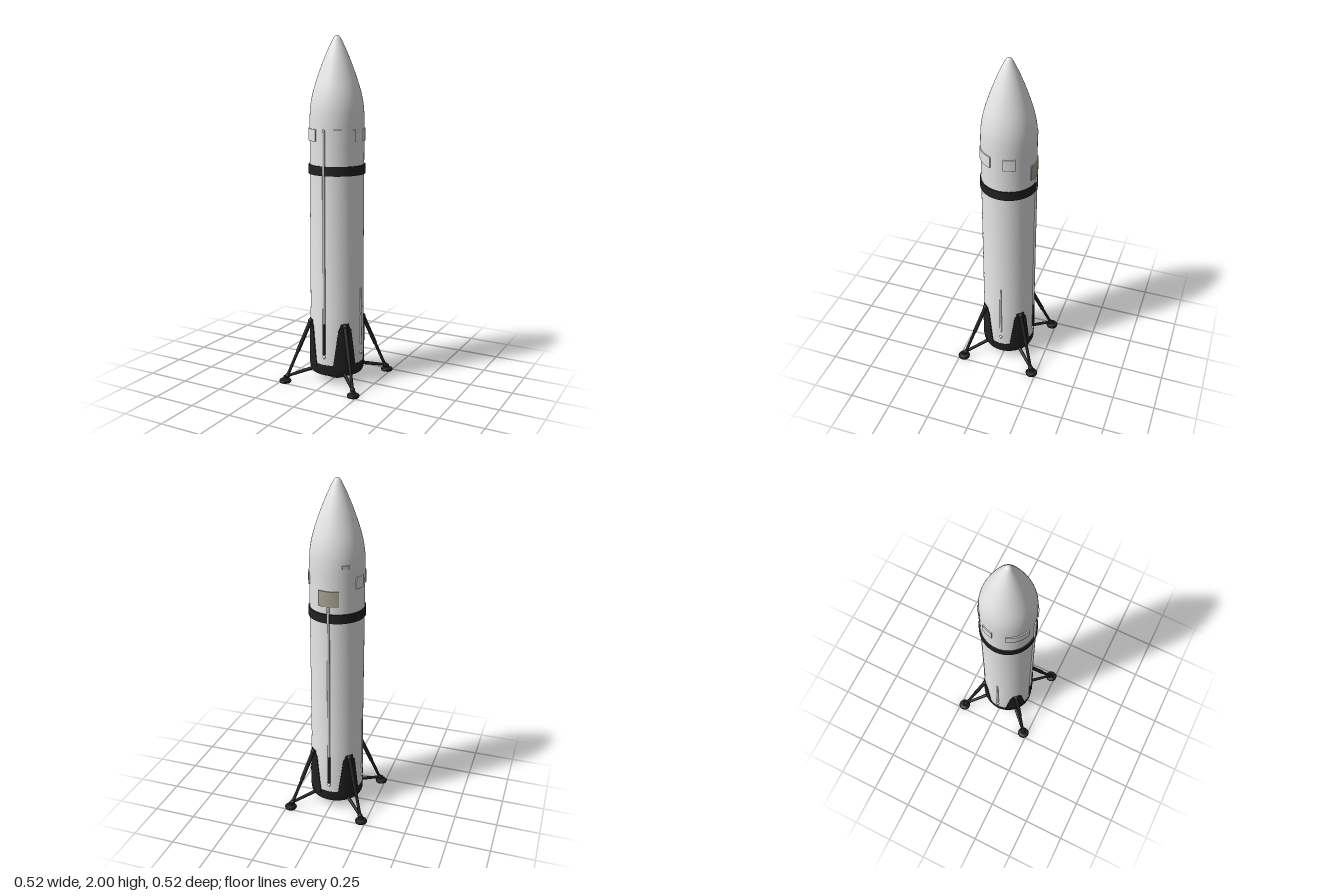
import * as THREE from 'three';
import { toCreasedNormals } from 'three/addons/utils/BufferGeometryUtils.js';

const material = (name, color) => {
  const m = new THREE.MeshStandardMaterial({ color });
  m.name = name;
  return m;
};

export function createModel() {
  const white = material('hull white', 0xe6e6e6);
  const black = material('heat shield black', 0x222222);
  const beige = material('hatch beige', 0xa8a490);
  const grey = material('conduit grey', 0xcfcfcf);
  const rocket = new THREE.Group();
  rocket.name = 'rocket';
  const rad = THREE.MathUtils.degToRad;

  const add = (name, geometry, mat, parent = rocket) => {
    const mesh = new THREE.Mesh(geometry, mat);
    mesh.name = name;
    parent.add(mesh);
    return mesh;
  };
  // Turned part, profile given as [radius, height] pairs
  const lathe = (pts, segments = 64) => toCreasedNormals(
    new THREE.LatheGeometry(pts.map(([r, y]) => new THREE.Vector2(r, y)), segments), rad(35));
  // Point on a cylinder; azimuth runs from +z towards +x
  const polar = (az, r, y) => new THREE.Vector3(r * Math.sin(rad(az)), y, r * Math.cos(rad(az)));
  // Tapered rod between two points
  const rod = (name, a, b, ra, rb, mat, parent) => {
    const mesh = add(name, new THREE.CylinderGeometry(rb, ra, a.distanceTo(b), 14), mat, parent);
    mesh.position.copy(a).add(b).multiplyScalar(0.5);
    mesh.quaternion.setFromUnitVectors(new THREE.Vector3(0, 1, 0), b.clone().sub(a).normalize());
    return mesh;
  };
  // Curved plate wrapped on the hull; halfAngle(t) is its half width in degrees at height t
  const plate = (name, az, halfAngle, y0, y1, r0, r1, mat, parent) => {
    const g = new THREE.BoxGeometry(1, 1, 1, 12, 16, 1);
    const p = g.attributes.position;
    for (let i = 0; i < p.count; i++) {
      const t = p.getY(i) + 0.5;
      const q = polar(az + p.getX(i) * 2 * halfAngle(t),
        THREE.MathUtils.lerp(r0, r1, p.getZ(i) + 0.5), THREE.MathUtils.lerp(y0, y1, t));
      p.setXYZ(i, q.x, q.y, q.z);
    }
    g.computeVertexNormals();
    return add(name, g, mat, parent);
  };

  // Hull and pointed nose
  add('hull', lathe([[0.157, 0.12], [0.157, 0.42], [0.155, 0.435], [0.155, 1.5]]), white);
  const nose = new THREE.SplineCurve([
    [0.155, 1.5], [0.1545, 1.55], [0.15, 1.615], [0.134, 1.695], [0.1, 1.8],
    [0.065, 1.89], [0.04, 1.945], [0.02, 1.984], [0.009, 1.997], [0, 2],
  ].map(([x, y]) => new THREE.Vector2(x, y))).getPoints(45);
  nose[nose.length - 1].x = 0;
  add('noseCone', new THREE.LatheGeometry(nose, 64), white);
  add('interstageBand', lathe([[0.154, 1.23], [0.162, 1.23], [0.162, 1.283], [0.154, 1.283]]), black);

  // Dark engine skirt with a recessed base
  add('engineSkirt', lathe([[0, 0.09], [0.135, 0.09], [0.14, 0.058], [0.153, 0.058],
    [0.158, 0.07], [0.158, 0.122], [0.15, 0.122]]), black);

  // Engines: one large bell and a ring of smaller ones
  const bell = (r, y0, y1) => lathe([[0, y1 - 0.012], [r * 0.45, y1 - 0.012], [r * 0.9, y0],
    [r, y0], [r * 0.8, y0 + (y1 - y0) * 0.4], [r * 0.5, y1]], 28);
  const engines = new THREE.Group();
  engines.name = 'engines';
  rocket.add(engines);
  add('centreEngine', bell(0.05, 0.006, 0.092), black, engines);
  for (let i = 0; i < 8; i++) {
    add('outerEngine', bell(0.03, 0.055, 0.092), black, engines).position.copy(polar(i * 45, 0.098, 0));
  }

  // Landing legs on the four diagonals
  for (const az of [45, 135, 225, 315]) {
    const leg = new THREE.Group();
    leg.name = 'landingLeg';
    rocket.add(leg);
    const outline = (t) => (26 - 14 * t) * (t > 0.93 ? 0.72 : 1);
    plate('legFairing', az, outline, 0.1, 0.375, 0.153, 0.162, black, leg);
    const ankle = polar(az, 0.305, 0.035);
    const hip = polar(az, 0.162, 0.36);
    const knee = hip.clone().lerp(ankle, 0.55);
    rod('upperStrut', knee, hip, 0.012, 0.012, black, leg);
    rod('lowerStrut', ankle, knee, 0.009, 0.009, black, leg);
    rod('braceStrut', ankle, polar(az, 0.14, 0.07), 0.008, 0.011, black, leg);
    add('hipJoint', new THREE.SphereGeometry(0.016, 16, 10), black, leg).position.copy(hip);
    add('ankleJoint', new THREE.SphereGeometry(0.015, 16, 10), black, leg).position.copy(ankle);
    add('footPad', lathe([[0, 0], [0.034, 0], [0.036, 0.008], [0.032, 0.014], [0.014, 0.02],
      [0.011, 0.036], [0, 0.036]], 28), black, leg).position.copy(polar(az, 0.318, 0));
  }

  // Long conduits front and back, with a dark lower cover
  for (const [az, top] of [[0, 1.48], [180, 1.32]]) {
    rod('conduit', polar(az, 0.157, 0.37), polar(az, 0.157, top), 0.008, 0.008, grey);
    add('conduitCap', new THREE.SphereGeometry(0.008, 14, 8), grey).position.copy(polar(az, 0.157, top));
    rod('conduitCover', polar(az, 0.157, 0.185), polar(az, 0.157, 0.37), 0.0095, 0.0095, black);
    add('conduitKnob', new THREE.SphereGeometry(0.01, 14, 8), white).position.copy(polar(az, 0.157, 0.17));
  }
  // Short tapered conduits on both sides
  for (const az of [90, 270]) {
    rod('sideConduit', polar(az, 0.157, 0.23), polar(az, 0.154, 0.57), 0.008, 0.005, white);
    add('sideKnob', new THREE.SphereGeometry(0.01, 14, 8), white).position.copy(polar(az, 0.157, 0.18));
  }

  // Raised panels around the upper hull
  for (const [az, half] of [[45, 24], [-45, 24], [109, 12], [-109, 12]]) {
    plate('hullPanel', az, () => half, 1.418, 1.486, 0.152, 0.161, white);
  }
  plate('rearHatch', 180, () => 22, 1.325, 1.415, 0.152, 0.161, beige);
  plate('sensorBox', 215, () => 7, 1.54, 1.562, 0.15, 0.161, grey);

  return rocket;
}
